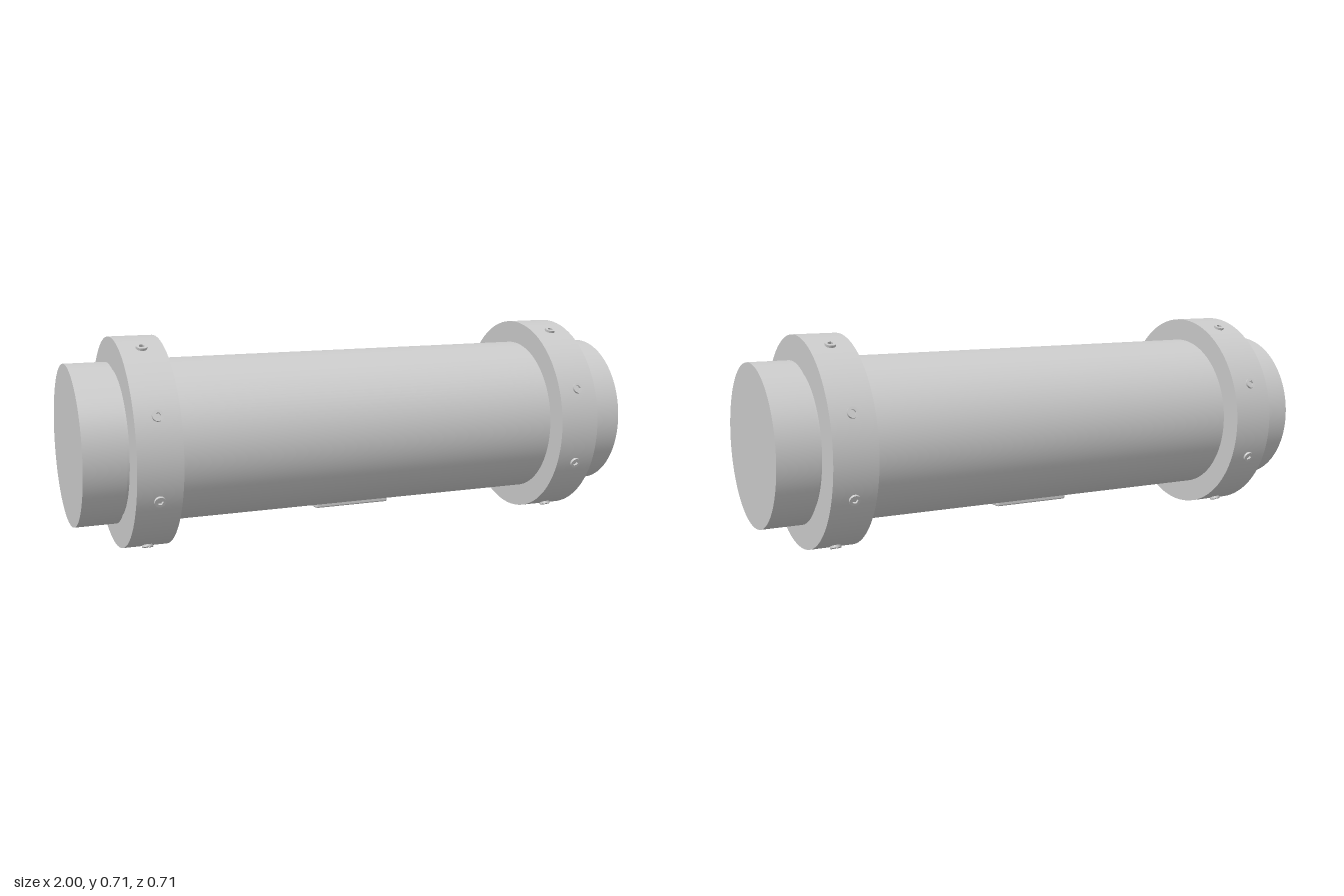
import * as THREE from 'three';

const CY = 0.356; // height of the main axis
const mat = new THREE.MeshStandardMaterial({ color: 0xcccccc });

function add(parent, name, geometry) {
  const mesh = new THREE.Mesh(geometry, mat);
  mesh.name = name;
  parent.add(mesh);
  return mesh;
}

// Solid cylinder along x, from x0 to x1
function rod(parent, name, radius, x0, x1) {
  const g = new THREE.CylinderGeometry(radius, radius, x1 - x0, 128);
  g.rotateZ(-Math.PI / 2);
  return add(parent, name, g).translateX((x0 + x1) / 2);
}

// Round screw head with a hexagonal socket, facing +z
function screwHeadGeometry() {
  const shape = new THREE.Shape().absarc(0, 0, 0.0185, 0, Math.PI * 2);
  const hex = [];
  for (let i = 0; i < 6; i++) {
    const a = -i * Math.PI / 3;
    hex.push(new THREE.Vector2(0.01 * Math.cos(a), 0.01 * Math.sin(a)));
  }
  shape.holes.push(new THREE.Path(hex));
  return new THREE.ExtrudeGeometry(shape, { depth: 0.019, bevelEnabled: false, curveSegments: 16 });
}

function roundedRect(target, w, h, r) {
  const x = w / 2, y = h / 2;
  target.moveTo(-x + r, -y);
  target.lineTo(x - r, -y).quadraticCurveTo(x, -y, x, -y + r);
  target.lineTo(x, y - r).quadraticCurveTo(x, y, x - r, y);
  target.lineTo(-x + r, y).quadraticCurveTo(-x, y, -x, y - r);
  target.lineTo(-x, -y + r).quadraticCurveTo(-x, -y, -x + r, -y);
  return target;
}

export function createModel() {
  const model = new THREE.Group();
  model.name = 'cylindricalHousing';
  const axis = new THREE.Group();
  axis.name = 'axis';
  axis.position.y = CY;
  model.add(axis);

  rod(axis, 'tubeBody', 0.277, -0.72, 0.72);

  // Clamp ring, neck, end cap and radial screws at each end
  const screwGeo = screwHeadGeometry();
  for (const side of [-1, 1]) {
    const end = new THREE.Group();
    end.name = side > 0 ? 'leftEnd' : 'rightEnd';
    end.rotation.y = side > 0 ? 0 : Math.PI;
    axis.add(end);
    rod(end, 'clampRing', 0.356, 0.698, 0.848);
    rod(end, 'neck', 0.252, 0.84, 0.87);
    rod(end, 'endCap', 0.272, 0.86, 1);
    for (let i = 0; i < 8; i++) {
      const pivot = new THREE.Group();
      pivot.name = 'screw';
      pivot.rotation.x = Math.PI / 8 + i * Math.PI / 4;
      end.add(pivot);
      add(pivot, 'screwHead', screwGeo).position.set(0.773, 0, 0.345);
    }
  }

  // Flat connector frame on the underside, with a raised bar in its opening
  const socket = new THREE.Group();
  socket.name = 'connectorSocket';
  socket.position.y = -0.262;
  socket.rotation.x = Math.PI / 2;
  axis.add(socket);
  const frame = roundedRect(new THREE.Shape(), 0.272, 0.118, 0.006);
  frame.holes.push(roundedRect(new THREE.Path(), 0.226, 0.078, 0.004));
  add(socket, 'connectorFrame', new THREE.ExtrudeGeometry(frame, {
    depth: 0.016, bevelThickness: 0.005, bevelSize: 0.006, bevelSegments: 2,
  }));
  add(socket, 'connectorBar', new THREE.BoxGeometry(0.2, 0.024, 0.02)).position.z = 0.008;

  return model;
}
